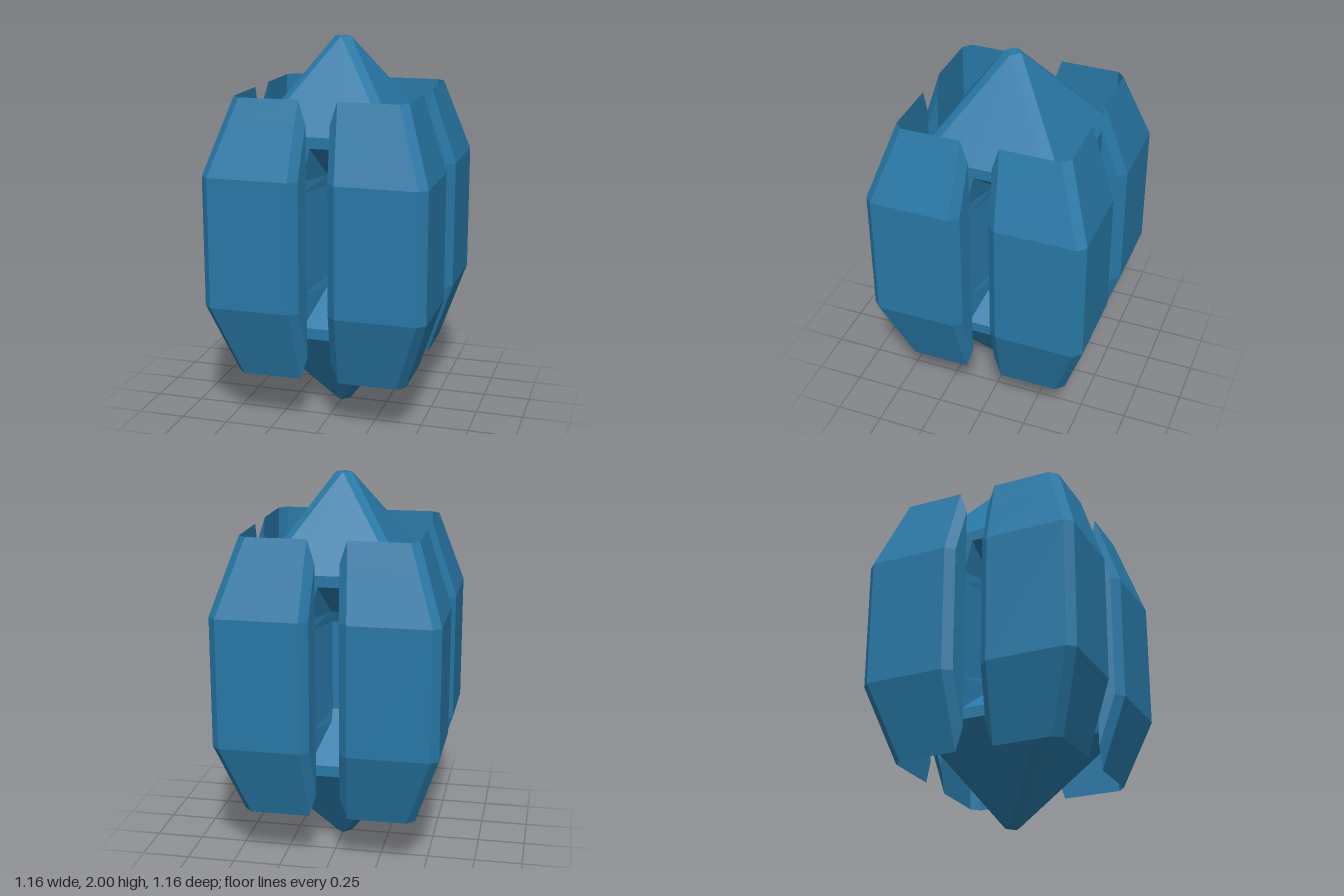
import * as THREE from 'three';

const material = new THREE.MeshStandardMaterial({ color: 0x2878a6, flatShading: true });

// Skin a stack of closed rings, listed from bottom to top, with flat facets
function loft(rings) {
  const out = [];
  const tri = (a, b, c) => {
    const n = b.clone().sub(a).cross(c.clone().sub(a));
    if (n.lengthSq() > 1e-14) for (const p of [a, b, c]) out.push(p.x, p.y, p.z);
  };
  for (let k = 0; k + 1 < rings.length; k++) {
    const lo = rings[k], hi = rings[k + 1], n = lo.length;
    for (let i = 0; i < n; i++) {
      const j = (i + 1) % n;
      tri(lo[i], lo[j], hi[j]);
      tri(lo[i], hi[j], hi[i]);
    }
  }
  const geometry = new THREE.BufferGeometry();
  geometry.setAttribute('position', new THREE.Float32BufferAttribute(out, 3));
  geometry.computeVertexNormals();
  return geometry;
}

// Complete a list of upper-half levels with its mirror image below y = 1
function mirrored(levels) {
  const lower = levels.map(([y, ...rest]) => [2 - y, ...rest]);
  return [...lower, ...levels.reverse()];
}

// Core section: four chamfered sides, each with a tapered groove
function coreRing([y, half, lip, floor, floorX]) {
  const edge = Math.max(half - 0.04, 0);
  const right = [[floorX, floor], [0.11, lip], [0.17, half], [edge, half]]
    .map(([x, z]) => [Math.min(x, edge), z]);
  const side = [...right.map(([x, z]) => [-x, z]).reverse(), ...right];
  const ring = [];
  for (let s = 0; s < 4; s++) {
    for (const [x, z] of side) {
      ring.push(new THREE.Vector3(x, y, z).applyAxisAngle(new THREE.Vector3(0, 1, 0), s * Math.PI / 2));
    }
  }
  return ring;
}

// Shell section: an L around one corner, with bevelled ends
function shellRing([y, outer, endX, bevelX, innerX]) {
  const inner = 0.45, bevelZ = Math.max(outer - 0.04, inner);
  const half = [[innerX, inner], [bevelX, bevelZ], [endX, outer], [outer - 0.04, outer]];
  const other = half.map(([x, z]) => [z, x]).reverse();
  return [...half, ...other, [inner, 0.41], [0.41, inner]]
    .map(([x, z]) => new THREE.Vector3(x, y, z));
}

export function createModel() {
  const group = new THREE.Group();

  // Pointed core: y, half width, groove lip, groove floor, floor half width
  const core = new THREE.Mesh(loft(mirrored([
    [2, 0, 0, 0, 0],
    [2, 0.042, 0.042, 0.042, 0],
    [1.533, 0.375, 0.375, 0.375, 0.065],
    [1.495, 0.4, 0.375, 0.375, 0.065],
    [1.475, 0.4, 0.375, 0.375, 0.065],
    [1.3, 0.4, 0.375, 0.17, 0.035],
    [1.24, 0.4, 0.375, 0.14, 0.035],
  ]).map(coreRing)), material);
  core.name = 'core';
  group.add(core);

  // Four corner shells: y, outer plane, end edge, bevel edge, inner edge
  const shellGeometry = loft(mirrored([
    [1.73, 0.45, 0.1, 0.1, 0.1],
    [1.61, 0.49, 0.107, 0.062, 0.062],
    [1.34, 0.58, 0.12, 0.076, 0.062],
  ]).map(shellRing));
  ['frontLeft', 'backLeft', 'backRight', 'frontRight'].forEach((corner, i) => {
    const shell = new THREE.Mesh(shellGeometry, material);
    shell.name = corner + 'Shell';
    shell.rotation.y = i * Math.PI / 2;
    group.add(shell);
  });

  return group;
}
